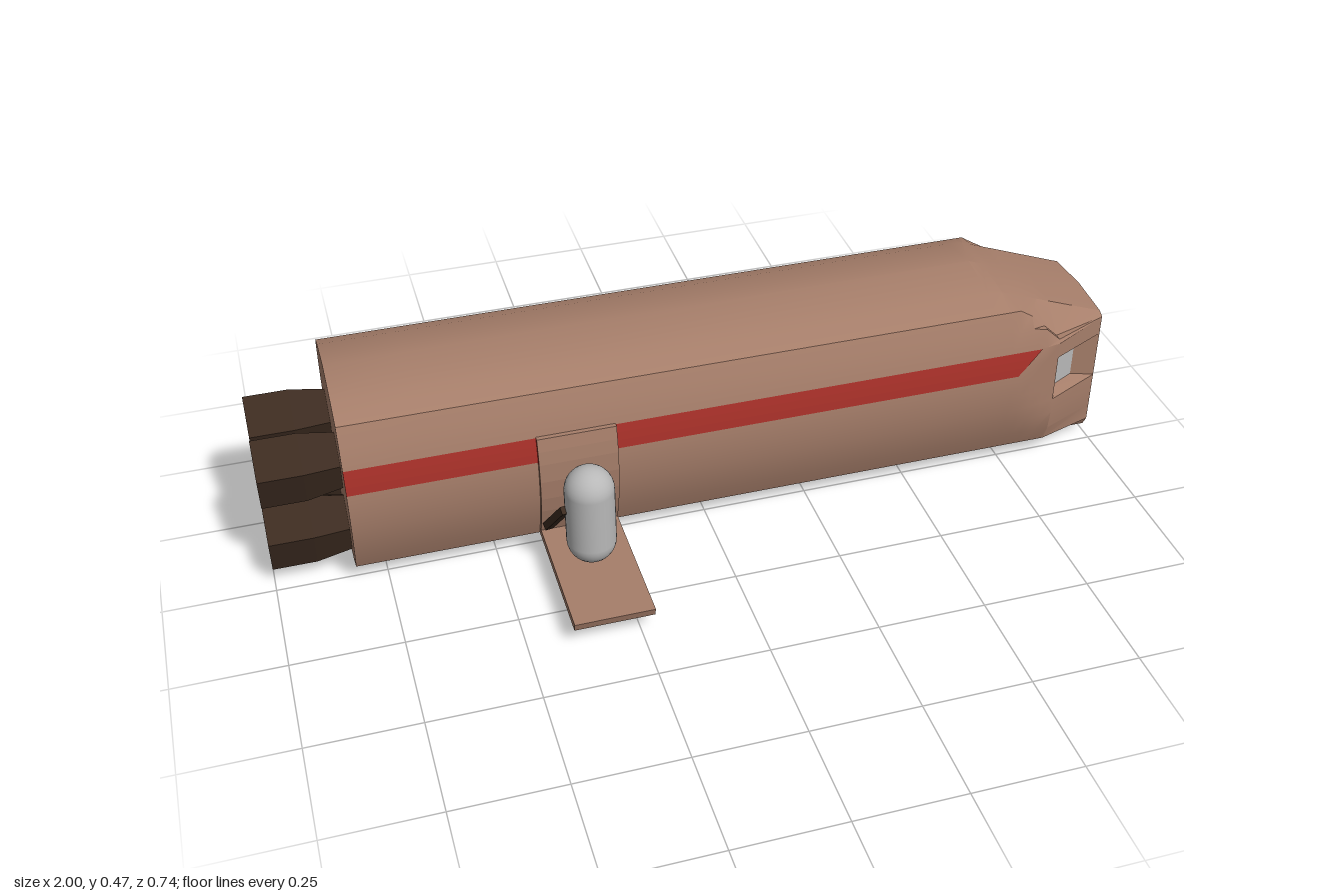
import * as THREE from 'three';
import { toCreasedNormals } from 'three/addons/utils/BufferGeometryUtils.js';

const mat = (name, color) => new THREE.MeshStandardMaterial({ name, color, side: THREE.DoubleSide });
const lerp = THREE.MathUtils.lerp;
const CZ = -0.153; // hull centre line in z

// Half-width of the bulging hull side at a height
const bulge = (y) => 0.218 - 0.043 * ((y - 0.24) / 0.193) ** 2;
const sideYs = [0.047, 0.09, 0.14, 0.18, 0.22, 0.26, 0.3, 0.34, 0.39, 0.434];
const half = [[0, 0.003], [0.118, 0.022], ...sideYs.map((y) => [bulge(y), y]), [0.118, 0.458], [0, 0.478]];

// Hull surface point: the nose narrows at the sides and slopes down at the roof
function hullPoint(x, off, y, side) {
  let w = 0.22;
  if (x > 0.76) w = x < 0.86 ? lerp(0.218, 0.198, (x - 0.76) / 0.1) : lerp(0.198, 0.132, (x - 0.86) / 0.14);
  let top = 0.478;
  if (off > 0.15) top = x < 0.77 ? 0.434 : Math.max(0.348, lerp(0.434, 0.348, (x - 0.77) / 0.09));
  else if (x > 0.7) top = lerp(0.478, 0.366, (x - 0.7) / 0.3) - 0.08 * off;
  return [x, Math.min(y, top), CZ + side * Math.min(off, w)];
}

function ring(x) {
  const left = half.map(([o, y]) => hullPoint(x, o, y, 1));
  const right = half.slice(1, -1).reverse().map(([o, y]) => hullPoint(x, o, y, -1));
  return [...left, ...right];
}

function geometryFrom(points) {
  const g = new THREE.BufferGeometry();
  g.setAttribute('position', new THREE.Float32BufferAttribute(points.flat(), 3));
  g.computeVertexNormals();
  return g;
}

// Quads between two matching rows of points
function strip(a, b, closed = false) {
  const pts = [];
  for (let i = 0; i < a.length - (closed ? 0 : 1); i++) {
    const j = (i + 1) % a.length;
    pts.push(a[i], b[i], b[j], a[i], b[j], a[j]);
  }
  return geometryFrom(pts);
}

export function createModel() {
  const model = new THREE.Group();
  const hullMat = mat('hullBrown', 0xa67e6a);
  const darkMat = mat('darkBrown', 0x3c2b20);
  const redMat = mat('stripeRed', 0xa83029);
  const greyMat = mat('paleGrey', 0xb8b8b8);

  function add(name, geometry, material, parent = model) {
    const m = new THREE.Mesh(geometry, material);
    m.name = name;
    parent.add(m);
    return m;
  }

  // Hull skin, left open where the windows are sunk in
  const stations = [-0.82, -0.64, -0.545, -0.44, -0.23, 0.7, 0.735, 0.76, 0.79, 0.825, 0.86, 1];
  const bays = [[-0.64, -0.545], [-0.44, -0.23]];
  const skin = [];
  for (let i = 0; i < stations.length - 1; i++) {
    const a = ring(stations[i]), b = ring(stations[i + 1]), n = a.length;
    const mx = (stations[i] + stations[i + 1]) / 2;
    for (let j = 0; j < n; j++) {
      const k = (j + 1) % n;
      const my = (a[j][1] + a[k][1]) / 2, mz = (a[j][2] + a[k][2]) / 2;
      const inBay = mz < CZ - 0.15 && my > 0.14 && my < 0.34 && bays.some(([p, q]) => mx > p && mx < q);
      const inNose = mx > 0.86 && my > 0.18 && my < 0.3 && Math.abs(mz - CZ) > 0.13;
      if (inBay || inNose) continue;
      skin.push(a[j], b[j], b[k], a[j], b[k], a[k]);
    }
  }
  // Faces wind outward: reverse each triangle
  for (let i = 0; i < skin.length; i += 3) [skin[i + 1], skin[i + 2]] = [skin[i + 2], skin[i + 1]];
  add('hull', toCreasedNormals(geometryFrom(skin), 0.4), hullMat);

  // Flat ends of the hull; the front one has the windscreen opening
  const noseShape = new THREE.Shape(ring(1).map((p) => new THREE.Vector2(-p[2], p[1])));
  noseShape.holes.push(new THREE.Path([[-0.067, 0.175], [0.067, 0.175], [0.067, 0.3], [-0.067, 0.3]]
    .map(([u, y]) => new THREE.Vector2(-CZ + u, y))));
  add('noseFace', new THREE.ShapeGeometry(noseShape).rotateY(Math.PI / 2).translate(1, 0, 0), hullMat);
  const rearShape = new THREE.Shape(ring(-0.82).map((p) => new THREE.Vector2(p[2], p[1])));
  add('rearFace', new THREE.ShapeGeometry(rearShape).rotateY(-Math.PI / 2).translate(-0.82, 0, 0), hullMat);

  // Sunken window: walls round the opening and a pane at the back of it
  function recess(name, outerA, outerB, innerA, innerB, wallMat) {
    const g = new THREE.Group();
    g.name = name;
    model.add(g);
    const loop = (a, b) => [...a, ...[...b].reverse()];
    add('windowWalls', strip(loop(outerA, outerB), loop(innerA, innerB), true), wallMat, g);
    add('windowPane', strip(innerA, innerB), greyMat, g);
  }
  const column = (x, z, y0, y1) => [[x, y0, CZ + z], [x, y1, CZ + z]];
  recess('windscreen', column(1, 0.067, 0.175, 0.3), column(1, -0.067, 0.175, 0.3),
    column(0.95, 0.056, 0.19, 0.293), column(0.95, -0.056, 0.19, 0.293), hullMat);
  for (const s of [1, -1]) {
    recess(s > 0 ? 'leftNoseWindow' : 'rightNoseWindow',
      column(0.86, s * 0.198, 0.18, 0.3), column(1, s * 0.132, 0.18, 0.3),
      column(0.862, s * 0.165, 0.19, 0.29), column(0.94, s * 0.125, 0.19, 0.29), hullMat);
  }
  const bayYs = sideYs.filter((y) => y >= 0.14 && y <= 0.34);
  for (const [x0, x1] of bays) {
    const col = (x, inset) => bayYs.map((y) => hullPoint(x, bulge(y) - inset, y, -1));
    recess('sideBayWindow', col(x0, 0), col(x1, 0), col(x0, 0.014), col(x1, 0.014), darkMat);
  }

  // Red stripes with a slanted forward end, broken by the bay windows
  const stripeYs = [0.28, 0.3, 0.32, 0.34];
  function stripe(x0, x1, slant, side) {
    const col = (x, sl) => stripeYs.map((y) => {
      const p = hullPoint(x + sl * (y - 0.28), bulge(y), y, side);
      p[2] += side * 0.002;
      return p;
    });
    add('stripe', strip(col(x0, 0), col(x1, slant)), redMat);
  }
  stripe(-0.82, 0.75, 1, 1);
  stripe(-0.82, -0.64, 0, -1);
  stripe(-0.545, -0.44, 0, -1);
  stripe(-0.23, 0.75, 1, -1);

  // Raised door panel above the ramp, with red edges where it crosses the stripe
  function doorPanel(name, ys, capMat) {
    const outer = ys.map((y) => new THREE.Vector2(-(CZ + bulge(y) + 0.011), y));
    const inner = ys.map((y) => new THREE.Vector2(-(CZ + bulge(y) - 0.005), y)).reverse();
    const g = new THREE.ExtrudeGeometry(new THREE.Shape([...outer, ...inner]), { depth: 0.18, bevelEnabled: false });
    add(name, g.rotateY(Math.PI / 2).translate(-0.4, 0, 0), [capMat, hullMat]);
  }
  doorPanel('doorLower', [0.06, 0.1, 0.14, 0.18, 0.23, 0.277], hullMat);
  doorPanel('doorUpper', [0.277, 0.31, 0.341], redMat);

  // Boarding ramp with a slanted tip
  const rampSide = new THREE.Shape([[-0.02, 0.047], [-0.02, 0.068], [-0.373, 0.068], [-0.366, 0.047]]
    .map(([u, y]) => new THREE.Vector2(u, y)));
  add('ramp', new THREE.ExtrudeGeometry(rampSide, { depth: 0.18, bevelEnabled: false })
    .rotateY(Math.PI / 2).translate(-0.4, 0, 0), hullMat);

  // Capsule figure on the ramp and the bar it carries
  add('capsuleFigure', new THREE.CapsuleGeometry(0.056, 0.136, 8, 32), greyMat).position.set(-0.31, 0.194, 0.166);
  const from = new THREE.Vector3(-0.387, 0.093, 0.06), to = new THREE.Vector3(-0.367, 0.22, 0.17);
  const bar = add('carriedBar', new THREE.BoxGeometry(0.018, 0.018, from.distanceTo(to)), darkMat);
  bar.position.copy(from).lerp(to, 0.5);
  bar.lookAt(to);

  // Four five-sided engine nozzles
  for (const y of [0.112, 0.287]) {
    for (const s of [1, -1]) {
      const g = new THREE.Group();
      g.name = 'engine';
      g.position.set(0, y, CZ - 0.004 + s * 0.085);
      model.add(g);
      const part = (name, rRear, rFront, len, x) => add(name, toCreasedNormals(
        new THREE.CylinderGeometry(rRear, rFront, len, 5, 1, false, Math.PI / 2).rotateZ(Math.PI / 2), 0.3), darkMat, g).position.x = x;
      part('engineFlare', 0.083, 0.067, 0.09, -0.855);
      part('engineNozzle', 0.083, 0.083, 0.1, -0.95);
    }
  }
  return model;
}
